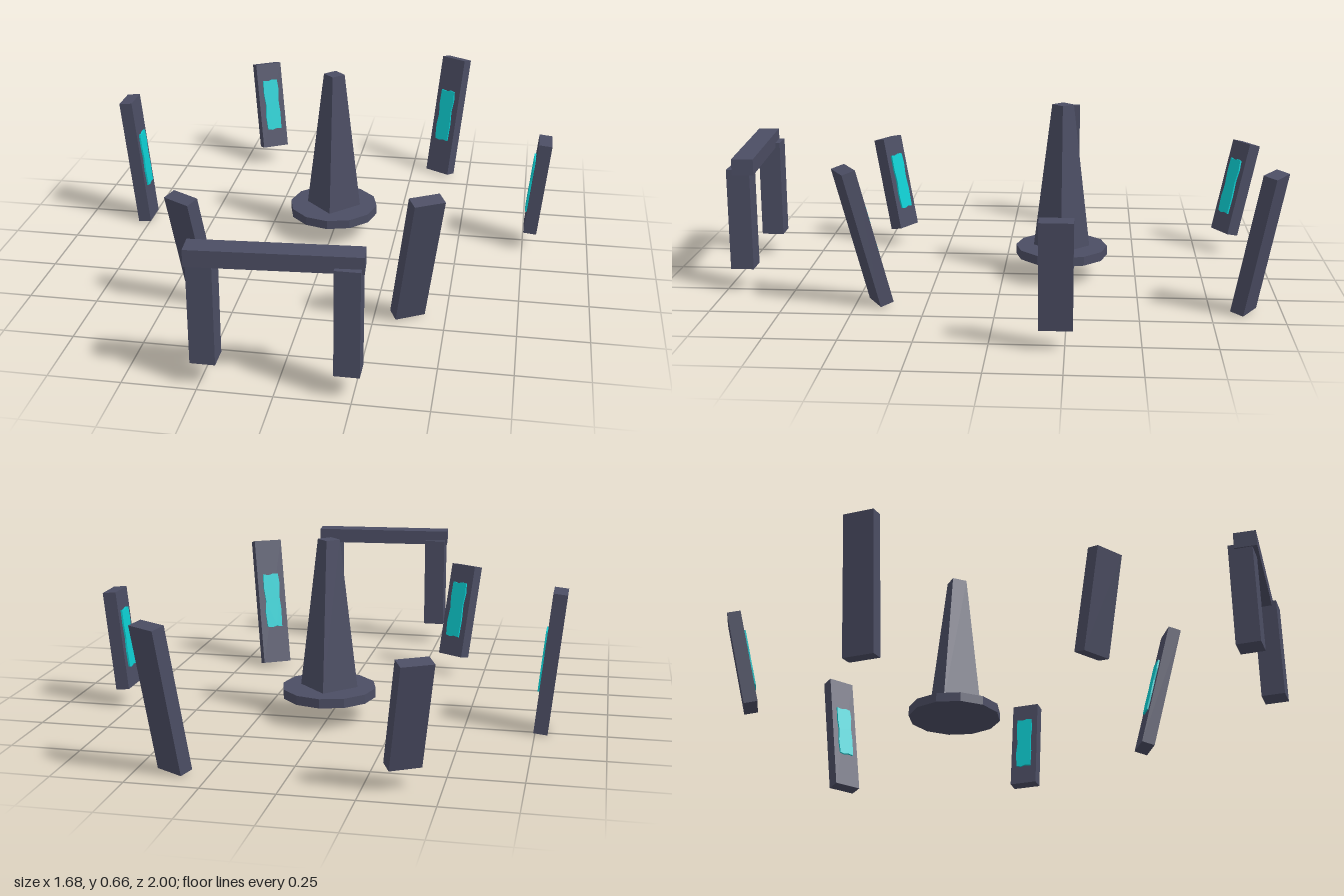
import * as THREE from 'three';

export function createModel() {
  const stone = new THREE.MeshStandardMaterial({ color: 0x4b4d63 });
  stone.name = 'slate stone';
  const glow = new THREE.MeshStandardMaterial({ color: 0x0cccd0 });
  glow.name = 'cyan glow';

  const model = new THREE.Group();
  model.name = 'stoneCircle';

  function add(parent, name, geometry, material, x, y, z) {
    const mesh = new THREE.Mesh(geometry, material);
    mesh.name = name;
    mesh.position.set(x, y, z);
    parent.add(mesh);
    return mesh;
  }

  const centreZ = -0.22;

  // Round base and four-sided spire in the middle of the circle
  const flat = (g) => {
    const f = g.toNonIndexed();
    f.computeVertexNormals();
    return f;
  };
  add(model, 'spireBase', flat(new THREE.CylinderGeometry(0.172, 0.172, 0.034, 12)), stone, 0, 0.102, centreZ);
  add(model, 'spire', flat(new THREE.CylinderGeometry(0.04, 0.106, 0.55, 4)), stone, 0, 0.385, centreZ);

  // Rough-edged glowing plate, shared by all standing stones
  const outline = [
    [-0.03, -0.108], [-0.012, -0.112], [0.008, -0.107], [0.031, -0.11],
    [0.033, -0.04], [0.029, 0.02], [0.034, 0.07], [0.03, 0.109],
    [0.01, 0.112], [-0.008, 0.106], [-0.033, 0.11],
    [-0.034, 0.05], [-0.029, 0.0], [-0.034, -0.05]
  ].map(([x, y]) => new THREE.Vector2(x, y));
  const plate = new THREE.ExtrudeGeometry(new THREE.Shape(outline), { depth: 0.007, bevelEnabled: false });

  // Six outward-leaning stones: angle in degrees, height, lean
  const tall = 0.508, low = 0.37, radius = 0.795;
  const stones = [
    [30, tall, 0.26], [90, low, 0.1], [150, tall, 0.195],
    [-150, low, 0.25], [-90, tall, 0.1], [-30, low, 0.22]
  ];
  for (const [degrees, height, lean] of stones) {
    const angle = THREE.MathUtils.degToRad(degrees);
    const group = new THREE.Group();
    group.name = 'standingStone';
    group.position.set(radius * Math.sin(angle), 0.256, centreZ + radius * Math.cos(angle));
    group.rotation.set(lean, angle, 0, 'YXZ');
    add(group, 'stoneSlab', new THREE.BoxGeometry(0.112, height, 0.05), stone, 0, 0, 0);
    add(group, 'glowPlate', plate, glow, 0, 0.003, -0.0245).rotation.y = Math.PI;
    model.add(group);
  }

  // Gateway: two posts under a slightly turned lintel
  const gate = new THREE.Group();
  gate.name = 'gateway';
  gate.position.z = 0.938;
  for (const side of [-1, 1]) {
    add(gate, 'gatePost', new THREE.BoxGeometry(0.084, 0.372, 0.084), stone, side * 0.232, 0.271, 0);
  }
  add(gate, 'gateLintel', new THREE.BoxGeometry(0.56, 0.058, 0.078), stone, 0, 0.468, 0).rotation.y = 0.07;
  model.add(gate);

  return model;
}
